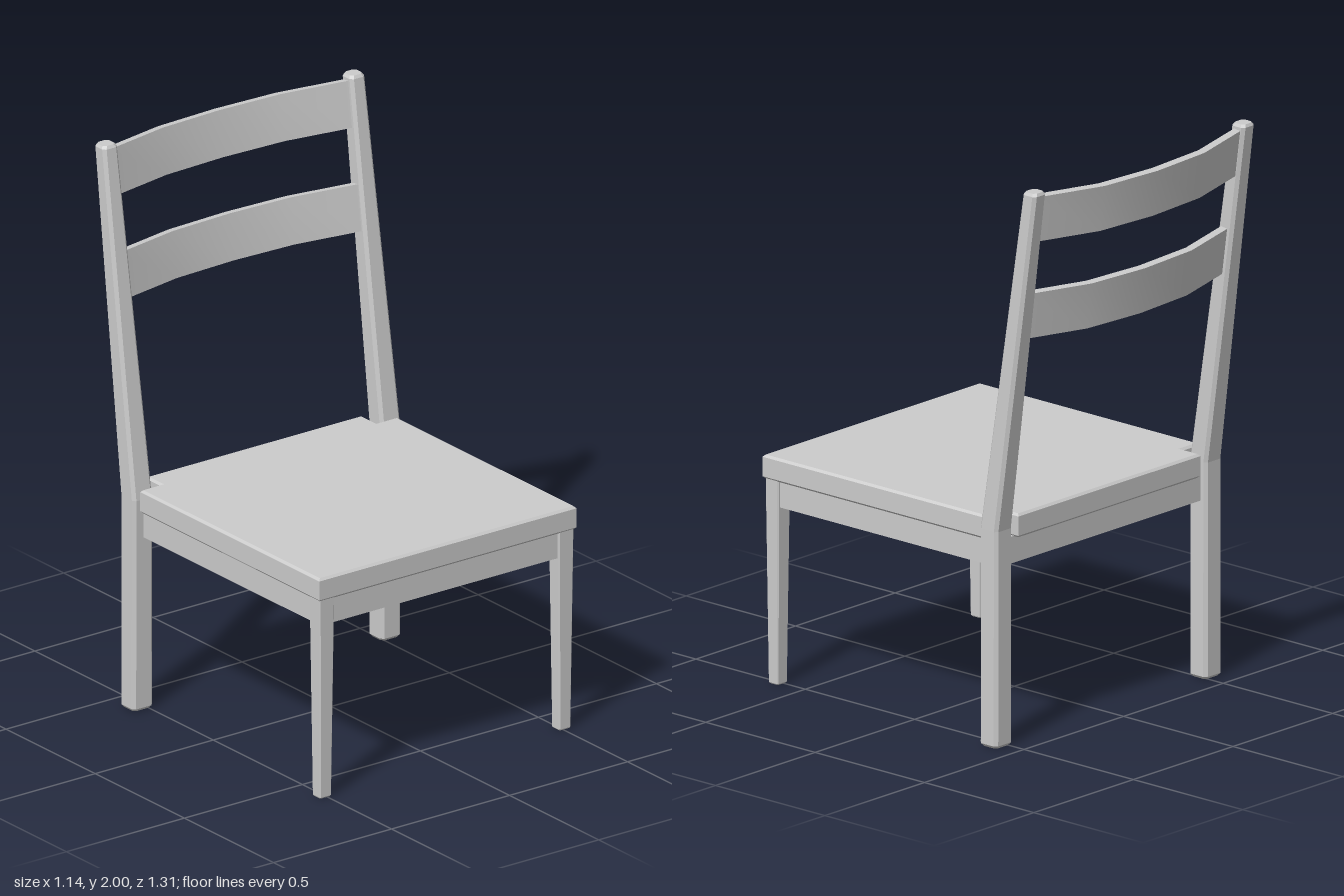
import * as THREE from 'three';
import { toCreasedNormals } from 'three/addons/utils/BufferGeometryUtils.js';

const material = new THREE.MeshStandardMaterial({ color: 0xcccccc });
const flatMaterial = new THREE.MeshStandardMaterial({ color: 0xcccccc, flatShading: true });

function addMesh(parent, name, geometry, mat = flatMaterial) {
  const mesh = new THREE.Mesh(geometry, mat);
  mesh.name = name;
  parent.add(mesh);
  return mesh;
}

// Lofts a chamfered rectangle through sections [x, y, z, width, depth], listed upwards.
function chamferedPost(sections, c) {
  const positions = [];
  const index = [];
  for (const [x, y, z, w, d] of sections) {
    const a = w / 2, b = d / 2;
    const ring = [[a, b - c], [a, c - b], [a - c, -b], [c - a, -b],
      [-a, c - b], [-a, b - c], [c - a, b], [a - c, b]];
    for (const [px, pz] of ring) positions.push(x + px, y, z + pz);
  }
  const last = (sections.length - 1) * 8;
  for (let s = 0; s < last; s += 8) {
    for (let i = 0; i < 8; i++) {
      const j = (i + 1) % 8;
      index.push(s + i, s + j, s + 8 + j, s + i, s + 8 + j, s + 8 + i);
    }
  }
  for (let i = 1; i < 7; i++) {
    index.push(0, i + 1, i);
    index.push(last, last + i, last + i + 1);
  }
  const geometry = new THREE.BufferGeometry();
  geometry.setAttribute('position', new THREE.Float32BufferAttribute(positions, 3));
  geometry.setIndex(index);
  const flat = geometry.toNonIndexed();
  flat.computeVertexNormals();
  return flat;
}

// Seat board with its back corners notched around the posts
function seatGeometry() {
  const bevel = 0.008;
  const outline = [[-0.545, -0.655], [0.545, -0.655], [0.545, 0.35], [0.457, 0.35],
    [0.457, 0.435], [-0.457, 0.435], [-0.457, 0.35], [-0.545, 0.35]];
  const shape = new THREE.Shape(outline.map(([x, y]) => new THREE.Vector2(x, y)));
  const geometry = new THREE.ExtrudeGeometry(shape, {
    depth: 0.085 - 2 * bevel, bevelEnabled: true, bevelSize: bevel,
    bevelThickness: bevel, bevelOffset: -bevel, bevelSegments: 1,
  });
  return geometry.rotateX(-Math.PI / 2).translate(0, 0.725 + bevel, 0);
}

// Slat bowed backwards, its height leaning with the posts
function slatGeometry() {
  const bow = [[-0.525, -0.08], [-0.25, -0.014], [0, 0], [0.25, -0.014], [0.525, -0.08]];
  const half = 0.014;
  const shape = new THREE.Shape([
    ...bow.map(([x, y]) => new THREE.Vector2(x, y - half)),
    ...bow.slice().reverse().map(([x, y]) => new THREE.Vector2(x, y + half)),
  ]);
  const geometry = new THREE.ExtrudeGeometry(shape, { depth: 0.166, bevelEnabled: false });
  geometry.translate(0, 0, -0.083).rotateX(-Math.PI / 2).rotateX(-0.135);
  return toCreasedNormals(geometry, 0.4);
}

export function createModel() {
  const chair = new THREE.Group();
  chair.name = 'chair';

  addMesh(chair, 'seat', seatGeometry());

  for (const side of [1, -1]) {
    const label = side > 0 ? 'left' : 'right';

    // Back leg and backrest post in one, bent at seat height
    addMesh(chair, label + 'BackPost', chamferedPost([
      [side * 0.526, 0, -0.395, 0.07, 0.064],
      [side * 0.526, 0.01, -0.395, 0.086, 0.08],
      [side * 0.526, 0.77, -0.395, 0.084, 0.08],
      [side * 0.524, 1.99, -0.569, 0.062, 0.06],
      [side * 0.524, 2, -0.57, 0.05, 0.048],
    ], 0.011));

    // Tapered front leg
    addMesh(chair, label + 'FrontLeg', chamferedPost([
      [side * 0.507, 0, 0.619, 0.044, 0.04],
      [side * 0.507, 0.004, 0.619, 0.049, 0.045],
      [side * 0.507, 0.73, 0.619, 0.064, 0.06],
    ], 0.004));

    // Side apron
    addMesh(chair, label + 'Apron', new THREE.BoxGeometry(0.03, 0.095, 0.98))
      .position.set(side * 0.513, 0.6795, 0.12);
  }

  // Front and back aprons
  addMesh(chair, 'frontApron', new THREE.BoxGeometry(0.99, 0.095, 0.03))
    .position.set(0, 0.6795, 0.625);
  addMesh(chair, 'backApron', new THREE.BoxGeometry(0.99, 0.095, 0.03))
    .position.set(0, 0.6795, -0.395);

  // Backrest slats
  const slat = slatGeometry();
  addMesh(chair, 'upperSlat', slat, material).position.set(0, 1.888, -0.631);
  addMesh(chair, 'lowerSlat', slat, material).position.set(0, 1.53, -0.573);

  return chair;
}
